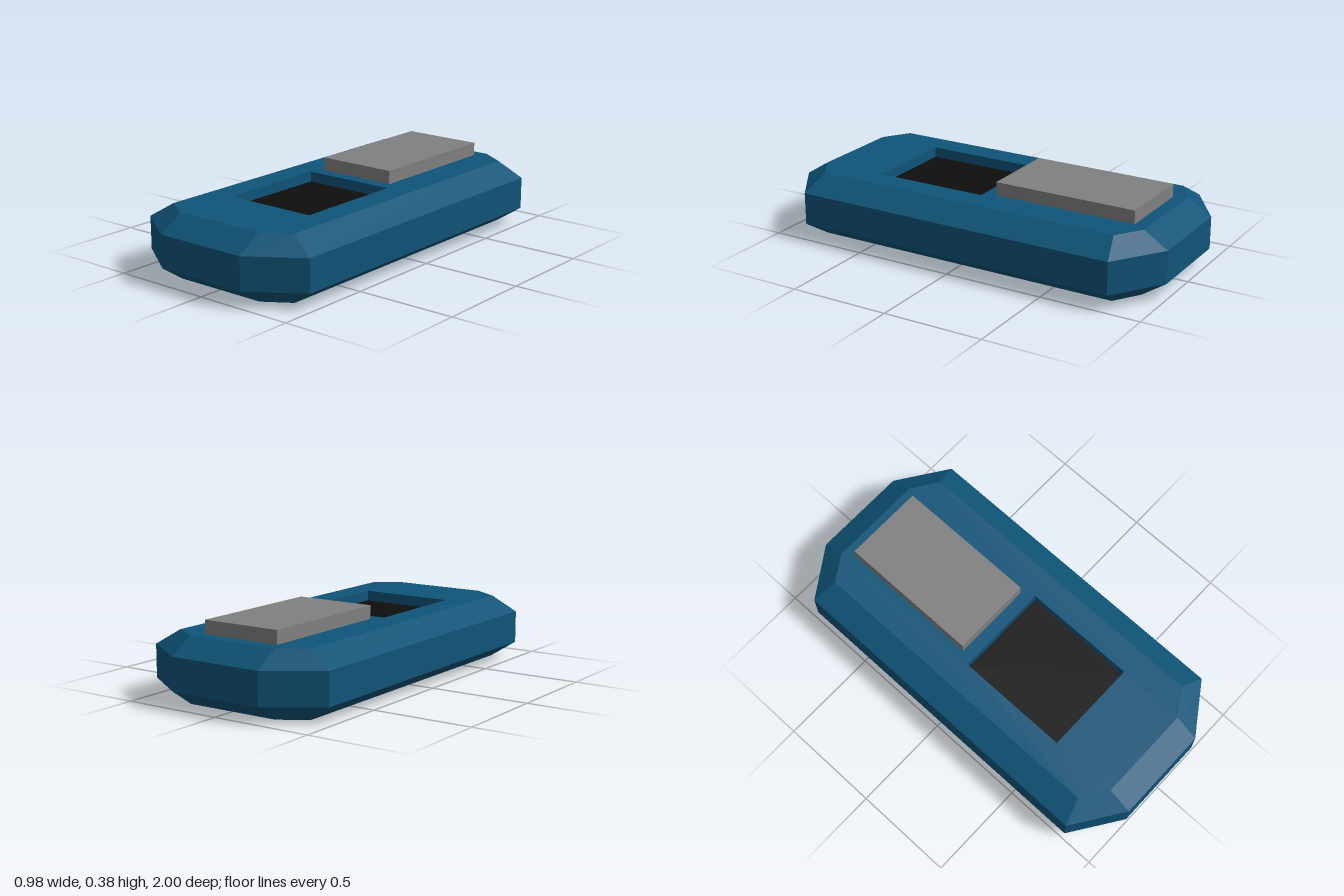
import * as THREE from 'three';

const blue = new THREE.MeshStandardMaterial({ color: 0x0f5478 });
blue.name = 'shellBlue';
const grey = new THREE.MeshStandardMaterial({ color: 0x808080 });
grey.name = 'padGrey';
const black = new THREE.MeshStandardMaterial({ color: 0x0e0e0e });
black.name = 'screenBlack';

// chamfered rectangle, counter-clockwise seen from above, as [x, -z]
function octagon(w, l, cx, cz) {
  return [[cx, -l], [w, -cz], [w, cz], [cx, l], [-cx, l], [-w, cz], [-w, -cz], [-cx, -l]];
}

// flat-sided band through rings of equal point count, from bottom to top
function band(rings) {
  const pos = [];
  for (let r = 0; r + 1 < rings.length; r++) {
    const lo = rings[r], hi = rings[r + 1], n = lo.pts.length;
    for (let i = 0; i < n; i++) {
      const j = (i + 1) % n;
      const v = (ring, k) => [ring.pts[k][0], ring.y, -ring.pts[k][1]];
      const a = v(lo, i), b = v(lo, j), c = v(hi, j), d = v(hi, i);
      pos.push(...a, ...b, ...c, ...a, ...c, ...d);
    }
  }
  const g = new THREE.BufferGeometry();
  g.setAttribute('position', new THREE.Float32BufferAttribute(pos, 3));
  g.computeVertexNormals();
  return g;
}

// horizontal cap facing up, with an optional hole
function cap(pts, y, hole) {
  const toVec = (p) => new THREE.Vector2(p[0], p[1]);
  const shape = new THREE.Shape(pts.map(toVec));
  if (hole) shape.holes.push(new THREE.Path(hole.map(toVec)));
  return new THREE.ShapeGeometry(shape).rotateX(-Math.PI / 2).translate(0, y, 0);
}

export function createModel() {
  const model = new THREE.Group();
  const add = (name, geometry, material, parent = model) => {
    const mesh = new THREE.Mesh(geometry, material);
    mesh.name = name;
    parent.add(mesh);
    return mesh;
  };

  // body shell: bevelled top and bottom, upright middle
  const outer = octagon(0.49, 1, 0.24, 0.83);
  const inner = octagon(0.37, 0.88, 0.24, 0.795);
  const top = 0.316, floor = 0.265;
  const shell = new THREE.Group();
  shell.name = 'bodyShell';
  model.add(shell);
  add('shellSides', band([
    { pts: inner, y: 0 }, { pts: outer, y: 0.08 },
    { pts: outer, y: 0.24 }, { pts: inner, y: top },
  ]), blue, shell);
  add('shellBottom', cap(inner, 0).rotateX(Math.PI), blue, shell);

  // screen recess, clockwise so its walls face inwards
  const recess = [[-0.24, -0.545], [-0.24, 0.03], [0.24, 0.03], [0.24, -0.545]];
  add('shellTop', cap(inner, top, recess), blue, shell);
  add('recessWalls', band([{ pts: recess, y: floor }, { pts: recess, y: top }]), blue, shell);
  add('screen', cap(recess.slice().reverse(), floor), black);

  // raised pad behind the screen
  add('raisedPad', new THREE.BoxGeometry(0.408, 0.066, 0.724), grey)
    .position.set(0, 0.349, -0.454);

  return model;
}
